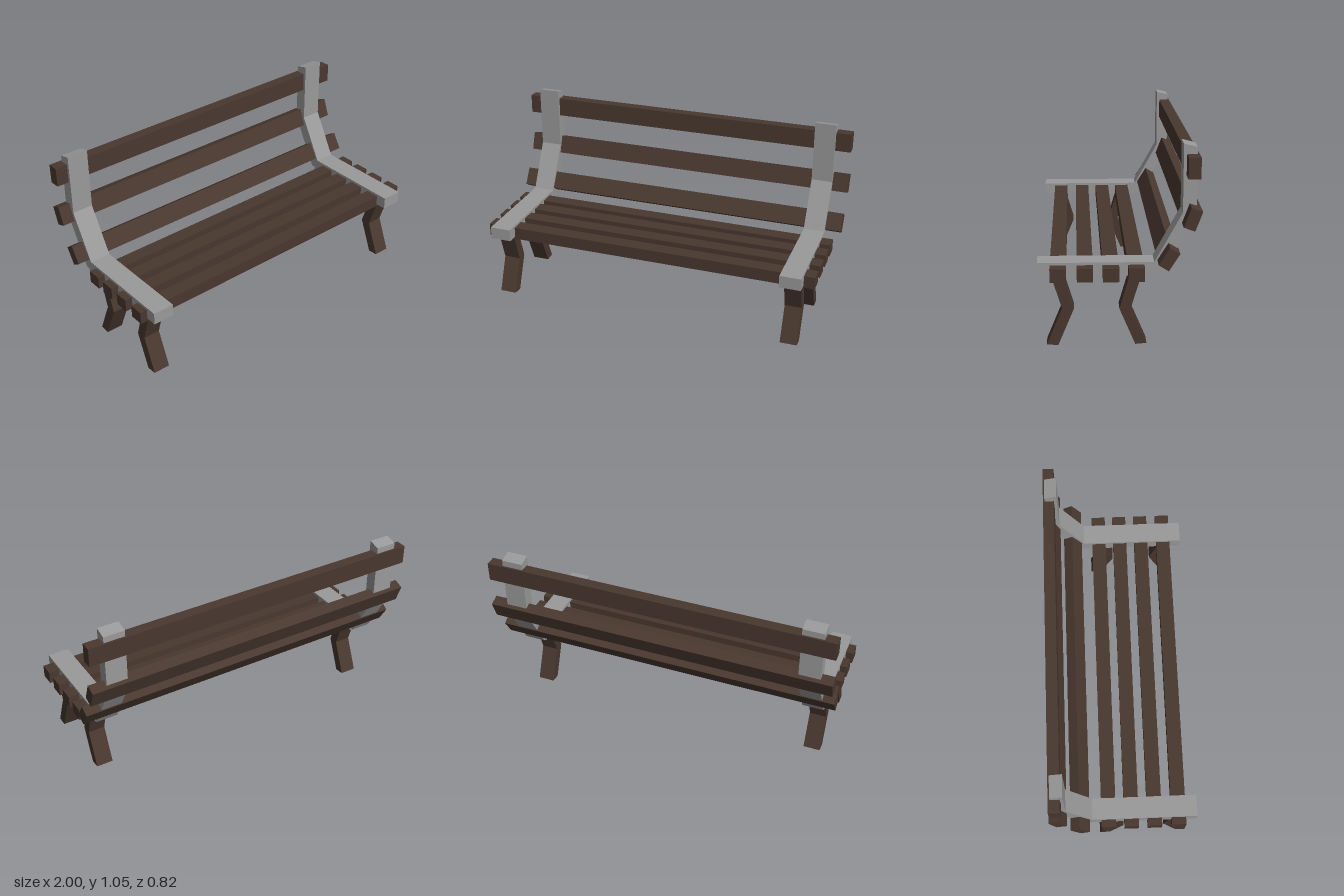
import * as THREE from 'three';

export function createModel() {
  const bench = new THREE.Group();
  bench.name = 'bench';
  const wood = new THREE.MeshStandardMaterial({ color: 0x49382f });
  wood.name = 'dark wood';
  const metal = new THREE.MeshStandardMaterial({ color: 0x9a9a9a });
  metal.name = 'grey metal';

  // Extrudes a side profile of [z, y] points across x, centred on cx
  function sideProfile(name, points, cx, width, material) {
    const shape = new THREE.Shape(points.map(([z, y]) => new THREE.Vector2(-z, y)));
    const geometry = new THREE.ExtrudeGeometry(shape, { depth: width, bevelEnabled: false });
    geometry.rotateY(Math.PI / 2).translate(cx - width / 2, 0, 0);
    const mesh = new THREE.Mesh(geometry, material);
    mesh.name = name;
    bench.add(mesh);
  }

  // A long plank running across the bench
  function slat(name, length, height, depth, y, z, tilt = 0) {
    const mesh = new THREE.Mesh(new THREE.BoxGeometry(length, height, depth), wood);
    mesh.position.set(0, y, z);
    mesh.rotation.x = tilt;
    mesh.name = name;
    bench.add(mesh);
  }

  // Seat slats
  for (const z of [0.306, 0.17, 0.039, -0.089]) slat('seatSlat', 1.944, 0.071, 0.082, 0.396, z);

  // Back slats, leaning less towards the top
  slat('lowerBackSlat', 2, 0.105, 0.06, 0.484, -0.248, -0.555);
  slat('middleBackSlat', 2, 0.107, 0.061, 0.6875, -0.363, -0.356);
  slat('topBackSlat', 2, 0.108, 0.062, 0.944, -0.3665, -0.012);

  // Bent side frames: seat rail continuing into the backrest post
  const frame = [
    [0.411, 0.375], [0.411, 0.445], [-0.18, 0.445], [-0.32, 0.7], [-0.32, 1.05],
    [-0.388, 1.033], [-0.388, 0.68], [-0.225, 0.388], [-0.205, 0.392], [-0.205, 0.375],
  ];
  // Kneed legs, front and back
  const frontLeg = [
    [0.35, 0.4], [0.287, 0.198], [0.367, 0.003], [0.308, 0], [0.227, 0.195], [0.289, 0.4],
  ];
  const backLeg = [
    [-0.065, 0.4], [-0.005, 0.193], [-0.087, 0], [-0.145, 0.005], [-0.063, 0.197], [-0.125, 0.4],
  ];
  for (const [side, cx] of [['right', -0.87], ['left', 0.85]]) {
    sideProfile(side + 'Frame', frame, cx, 0.121, metal);
    sideProfile(side + 'FrontLeg', frontLeg, cx, 0.096, wood);
    sideProfile(side + 'BackLeg', backLeg, cx, 0.096, wood);
  }
  return bench;
}
